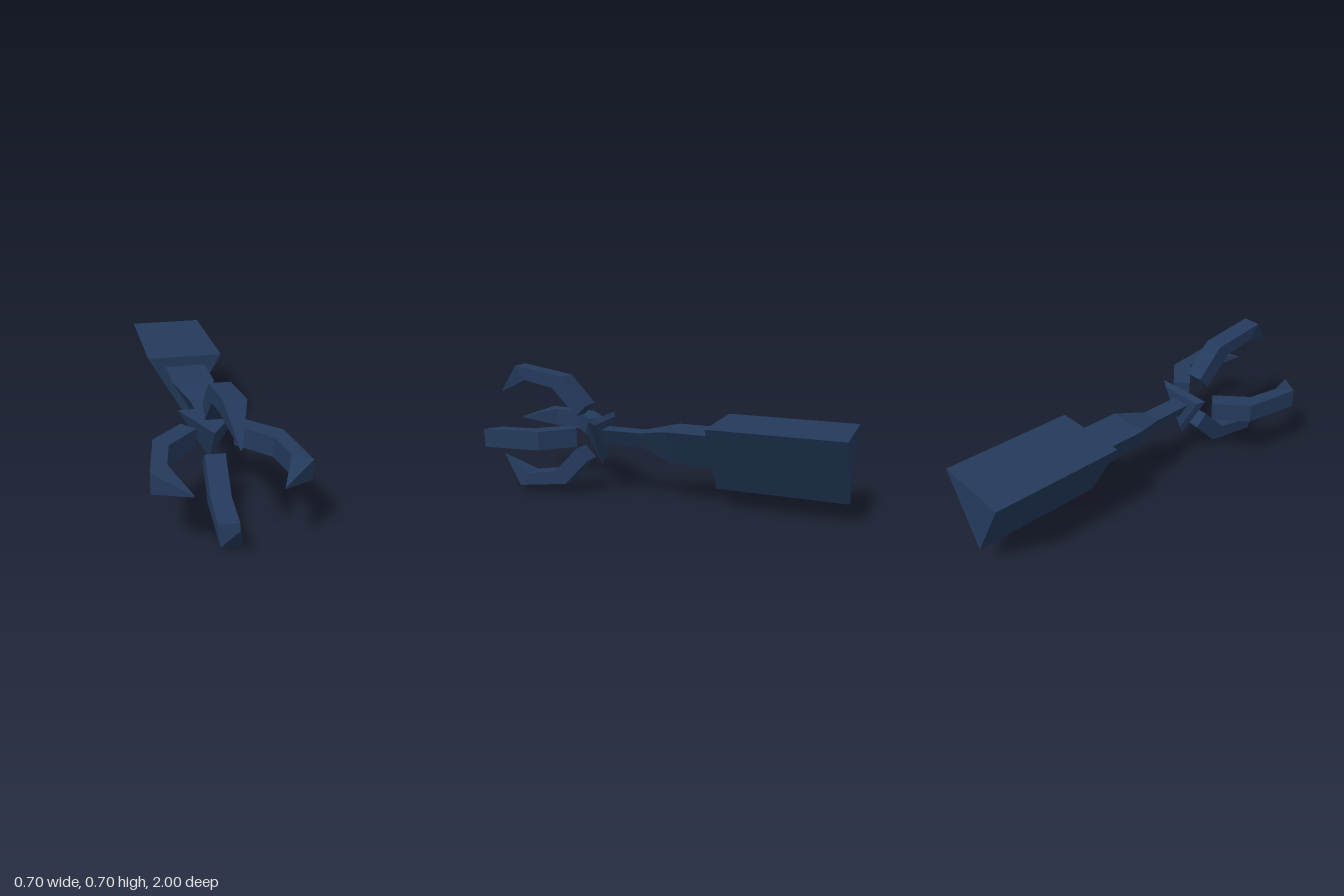
import * as THREE from 'three';

const material = new THREE.MeshStandardMaterial({ color: 0x243a5c, flatShading: true });

// Skin a list of cross-sections (counter-clockwise seen from +z, ordered toward +z) and cap both ends.
function loft(name, rings) {
  const pos = [];
  const tri = (a, b, c) => pos.push(...a, ...b, ...c);
  const n = rings[0].length;
  for (let i = 0; i < rings.length - 1; i++) {
    for (let k = 0; k < n; k++) {
      const k2 = (k + 1) % n;
      const a = rings[i][k], b = rings[i][k2], c = rings[i + 1][k2], d = rings[i + 1][k];
      tri(a, b, c);
      tri(a, c, d);
    }
  }
  const first = rings[0], last = rings[rings.length - 1];
  for (let k = 1; k < n - 1; k++) {
    tri(first[0], first[k + 1], first[k]);
    tri(last[0], last[k], last[k + 1]);
  }
  const geometry = new THREE.BufferGeometry();
  geometry.setAttribute('position', new THREE.Float32BufferAttribute(pos, 3));
  geometry.computeVertexNormals();
  const mesh = new THREE.Mesh(geometry, material);
  mesh.name = name;
  return mesh;
}

// Triangular cross-section with one corner pointing down.
function triangle(z, r) {
  return [-90, 30, 150].map((deg) => {
    const a = THREE.MathUtils.degToRad(deg);
    return [r * Math.cos(a), r * Math.sin(a), z];
  });
}

// Rectangular cross-section of a prong, between an inner and an outer edge.
function prongSection([innerY, innerZ, outerY, outerZ, w]) {
  return [[-w, innerY, innerZ], [w, innerY, innerZ], [w, outerY, outerZ], [-w, outerY, outerZ]];
}

export function createModel() {
  const model = new THREE.Group();
  model.name = 'clawArm';

  // Triangular arm, turned slightly about the wrist
  const arm = new THREE.Group();
  arm.name = 'arm';
  arm.position.set(0, 0.35, 0.34);
  arm.rotation.y = 0.028;
  arm.add(
    loft('housing', [triangle(-1.333, 0.24), triangle(-0.65, 0.24)]),
    loft('shaft', [
      triangle(-0.66, 0.129), triangle(-0.4, 0.129),
      triangle(-0.23, 0.06), triangle(0.005, 0.06),
    ]),
    loft('wristCone', [triangle(-0.01, 0.14), triangle(0.012, 0.183), triangle(0.11, 0.002)]),
  );
  model.add(arm);

  // Four identical bent prongs around the axis
  const sections = [
    [0.09, 0.485, 0.155, 0.42, 0.05],
    [0.24, 0.635, 0.305, 0.565, 0.05],
    [0.27, 0.81, 0.35, 0.87, 0.05],
    [0.188, 1.0, 0.192, 1.0, 0.004],
  ].map(prongSection);
  ['topProng', 'rightProng', 'bottomProng', 'leftProng'].forEach((name, i) => {
    const prong = loft(name, sections);
    prong.position.y = 0.35;
    prong.rotation.z = (i * Math.PI) / 2;
    model.add(prong);
  });

  return model;
}
